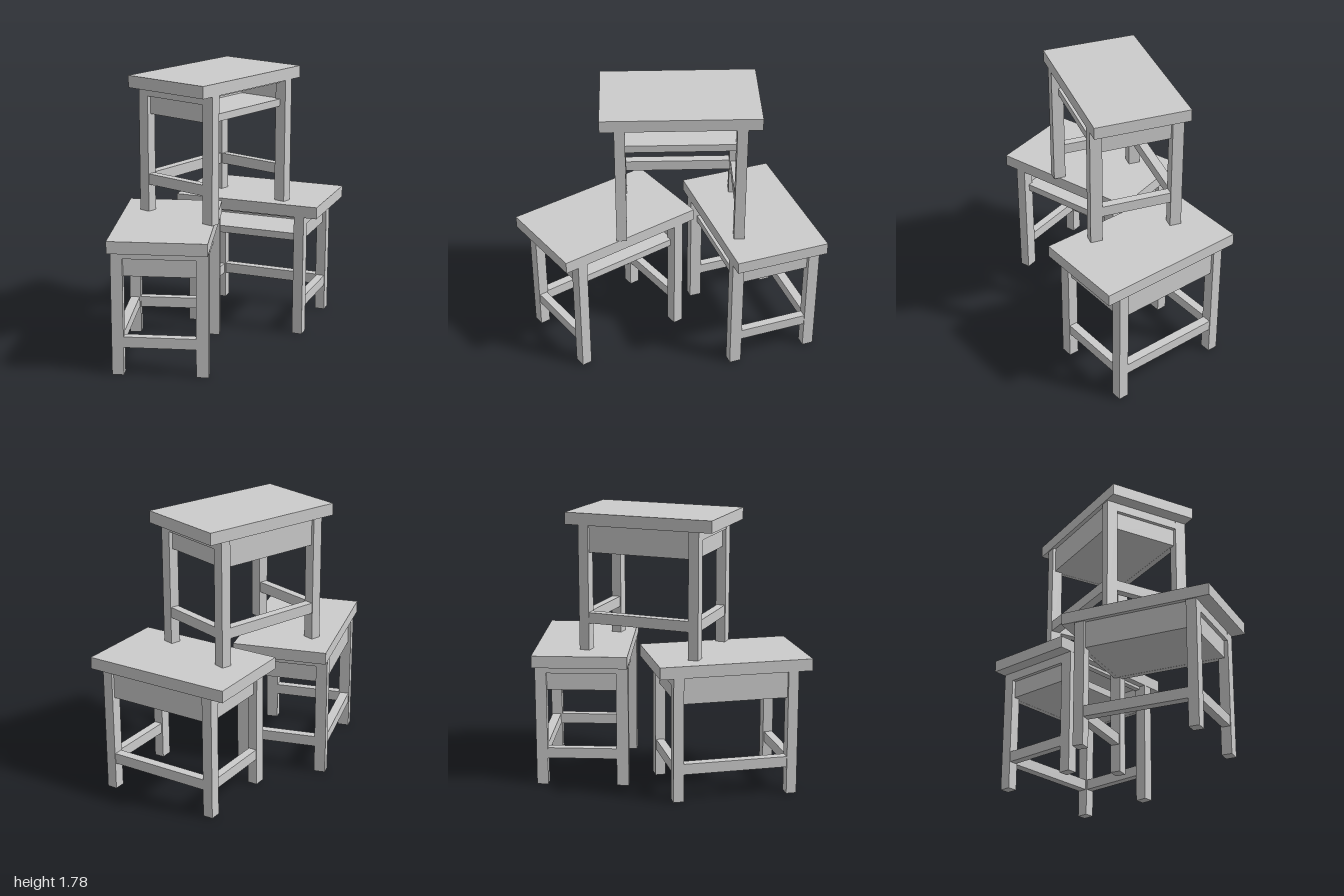
import * as THREE from 'three';

const material = new THREE.MeshStandardMaterial({ color: 0xcccccc, flatShading: true });

// Box given by its min and max on each axis
function box(parent, name, [x0, x1], [y0, y1], [z0, z1]) {
  const mesh = new THREE.Mesh(new THREE.BoxGeometry(x1 - x0, y1 - y0, z1 - z0), material);
  mesh.position.set((x0 + x1) / 2, (y0 + y1) / 2, (z0 + z1) / 2);
  mesh.name = name;
  parent.add(mesh);
}

// One school desk, open side facing +z, standing on y = 0
function createDesk(name) {
  const desk = new THREE.Group();
  desk.name = name;
  const inner = 0.34, outer = 0.407; // leg span in x
  const front = [0.226, 0.304], back = [-0.3, -0.226]; // leg spans in z
  const mirror = (side, a, b) => (side > 0 ? [a, b] : [-b, -a]);

  box(desk, 'tabletop', [-0.495, 0.495], [0.815, 0.893], [-0.308, 0.306]);

  for (const side of [-1, 1]) {
    const legX = mirror(side, inner, outer);
    box(desk, 'frontLeg', legX, [0, 0.816], front);
    box(desk, 'backLeg', legX, [0, 0.816], back);
    box(desk, 'sideStretcher', mirror(side, inner + 0.008, outer - 0.005), [0.18, 0.25], [-0.23, 0.23]);
    box(desk, 'sideApron', mirror(side, inner + 0.015, outer - 0.001), [0.757, 0.816], [-0.23, 0.23]);
    box(desk, 'traySide', mirror(side, inner + 0.015, outer - 0.026), [0.64, 0.76], [-0.23, 0.23]);
  }

  // Back closing panel and stretcher
  box(desk, 'backPanel', [-0.345, 0.345], [0.64, 0.816], [-0.28, -0.245]);
  box(desk, 'backStretcher', [-0.345, 0.345], [0.18, 0.25], [-0.295, -0.235]);

  // Book tray under the top
  box(desk, 'trayFloor', [-0.358, 0.358], [0.641, 0.688], [-0.25, 0.225]);
  box(desk, 'trayFrontRail', [-0.345, 0.345], [0.64, 0.688], [0.22, 0.26]);
  box(desk, 'trayTopRail', [-0.345, 0.345], [0.796, 0.816], [0.22, 0.26]);
  box(desk, 'trayBackWall', [-0.358, 0.358], [0.68, 0.816], [-0.09, -0.065]);
  return desk;
}

export function createModel() {
  const model = new THREE.Group();
  model.name = 'stackedDesks';
  // name, x, y, z, turn about y
  const placements = [
    ['rightLowerDesk', -0.4175, 0, -0.005, 0.595],
    ['leftLowerDesk', 0.5525, 0, -0.005, -1.253],
    ['upperDesk', 0.065, 0.892, -0.002, 0],
  ];
  for (const [name, x, y, z, turn] of placements) {
    const desk = createDesk(name);
    desk.position.set(x, y, z);
    desk.rotation.y = turn;
    model.add(desk);
  }
  return model;
}
